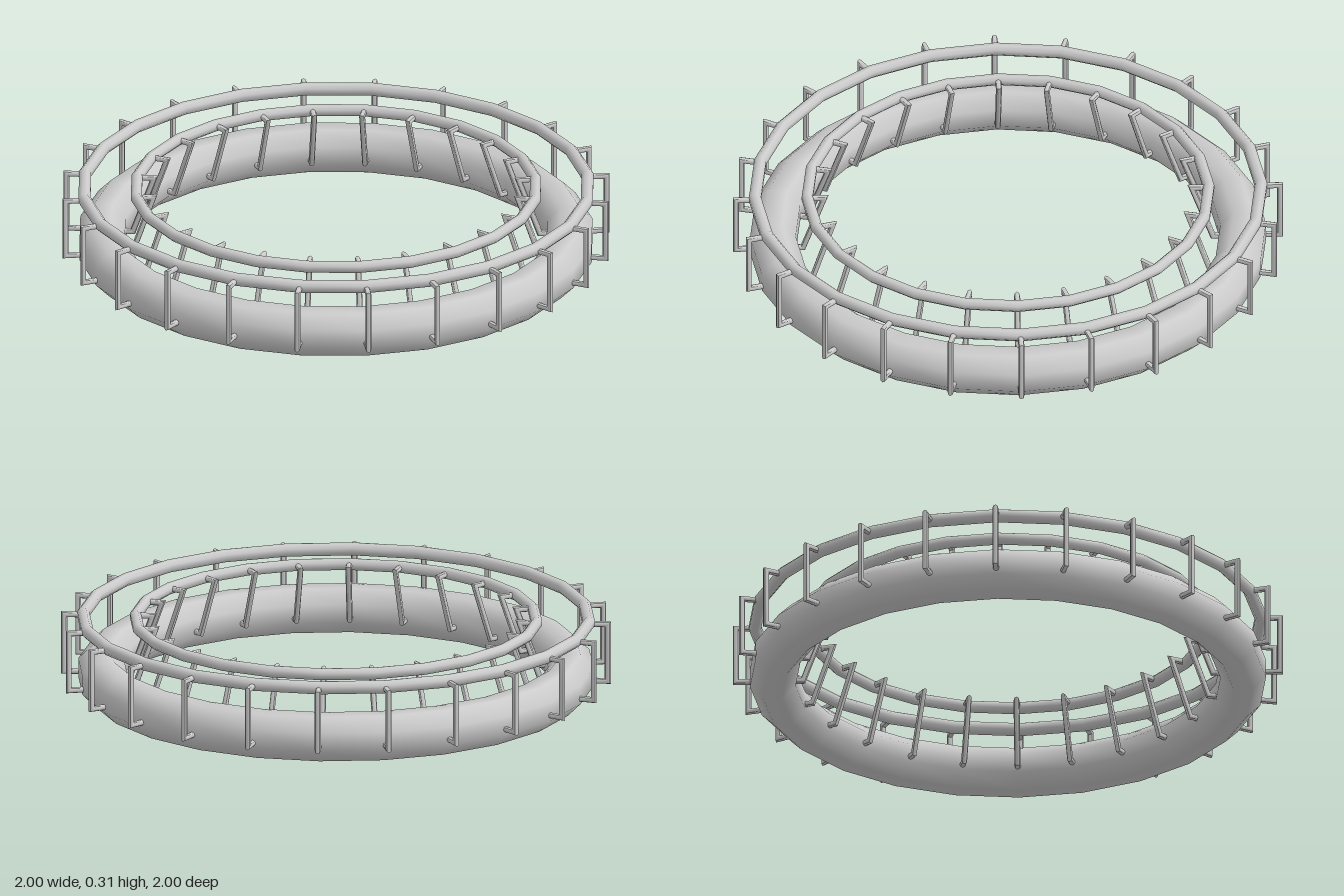
import * as THREE from 'three';
import { mergeVertices, toCreasedNormals } from 'three/addons/utils/BufferGeometryUtils.js';

const SEGMENTS = 24; // sides of every ring, one bracket pair per corner
const SIDES = 8;     // sides of every tube section

// Ring with an octagonal section lying flat on top and bottom
function ringGeometry(radius, halfHeight, y) {
  const r = halfHeight / Math.cos(Math.PI / SIDES);
  const profile = [];
  for (let i = 0; i <= SIDES; i++) {
    const a = ((i + 0.5) / SIDES) * Math.PI * 2;
    profile.push(new THREE.Vector2(radius + r * Math.cos(a), y + r * Math.sin(a)));
  }
  let geo = new THREE.LatheGeometry(profile, SEGMENTS);
  geo.deleteAttribute('uv');
  geo.deleteAttribute('normal');
  geo = mergeVertices(geo, 1e-4);
  geo.computeVertexNormals();
  return geo;
}

// Rod swept along a bent path in the x-y plane, with mitred corners
function bentRodGeometry(path, radius) {
  const pts = path.map(([x, y]) => new THREE.Vector2(x, y));
  const positions = [];
  const index = [];
  pts.forEach((p, i) => {
    const before = p.clone().sub(pts[Math.max(i - 1, 0)]).normalize();
    const after = pts[Math.min(i + 1, pts.length - 1)].clone().sub(p).normalize();
    const tangent = before.clone().add(after).normalize();
    const along = i === 0 ? after : before;
    const scale = radius / tangent.dot(along);
    for (let j = 0; j < SIDES; j++) {
      const a = (j / SIDES) * Math.PI * 2;
      const n = Math.cos(a) * scale;
      positions.push(p.x - tangent.y * n, p.y + tangent.x * n, Math.sin(a) * radius);
    }
  });
  for (let i = 0; i < pts.length - 1; i++) {
    for (let j = 0; j < SIDES; j++) {
      const a = i * SIDES + j;
      const b = i * SIDES + ((j + 1) % SIDES);
      index.push(a, b, a + SIDES, b, b + SIDES, a + SIDES);
    }
  }
  const geo = new THREE.BufferGeometry();
  geo.setAttribute('position', new THREE.Float32BufferAttribute(positions, 3));
  geo.setIndex(index);
  return toCreasedNormals(geo, THREE.MathUtils.degToRad(50));
}

export function createModel() {
  const model = new THREE.Group();
  model.name = 'railedRing';
  const material = new THREE.MeshStandardMaterial({ color: 0xcccccc, side: THREE.DoubleSide });

  const add = (name, geometry, parent = model) => {
    const mesh = new THREE.Mesh(geometry, material);
    mesh.name = name;
    parent.add(mesh);
    return mesh;
  };

  // Thick base ring and the two hand rails above it
  add('baseRing', ringGeometry(0.855, 0.083, 0.083));
  add('outerRail', ringGeometry(0.92, 0.022, 0.286));
  add('innerRail', ringGeometry(0.73, 0.02, 0.283));

  // Brackets: upright outside, leaning inwards on the inside
  const outer = bentRodGeometry([[0.92, 0.283], [0.989, 0.283], [0.989, 0.069], [0.91, 0.069]], 0.011);
  const inner = bentRodGeometry([[0.73, 0.283], [0.668, 0.283], [0.745, 0.069], [0.8, 0.069]], 0.011);
  const outerBrackets = new THREE.Group();
  outerBrackets.name = 'outerBrackets';
  const innerBrackets = new THREE.Group();
  innerBrackets.name = 'innerBrackets';
  model.add(outerBrackets, innerBrackets);
  for (let i = 0; i < SEGMENTS; i++) {
    const angle = (i / SEGMENTS) * Math.PI * 2;
    add('outerBracket', outer, outerBrackets).rotation.y = angle;
    add('innerBracket', inner, innerBrackets).rotation.y = angle;
  }
  return model;
}
